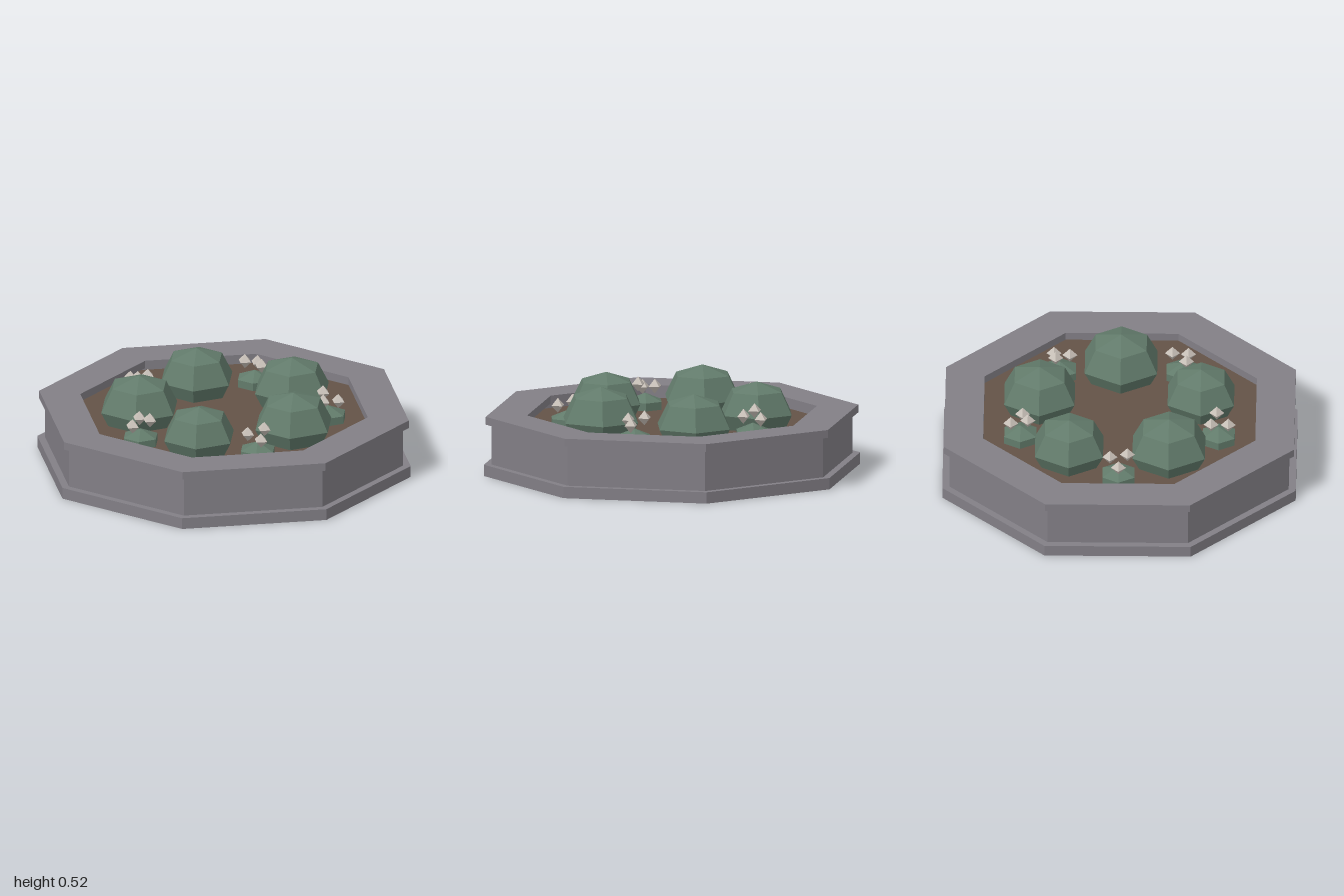
import * as THREE from 'three';

const mat = (name, color, side = THREE.FrontSide) => {
  const m = new THREE.MeshStandardMaterial({ color, flatShading: true, side });
  m.name = name;
  return m;
};

export function createModel() {
  const stone = mat('stone', 0x827f86, THREE.DoubleSide);
  const soil = mat('soil', 0x645347, THREE.DoubleSide);
  const leaf = mat('leaf', 0x627b6b);
  const petal = mat('petal', 0xc8c0b8);

  const model = new THREE.Group();
  model.name = 'octagonalPlanter';

  const add = (parent, name, geometry, material, x = 0, y = 0, z = 0) => {
    const mesh = new THREE.Mesh(geometry, material);
    mesh.name = name;
    mesh.position.set(x, y, z);
    parent.add(mesh);
    return mesh;
  };

  // Eight-sided shells; profiles are [distance to flat side, height]
  const corner = 1 / Math.cos(Math.PI / 8);
  const octagon = (profile) => new THREE.LatheGeometry(
    profile.map(([a, y]) => new THREE.Vector2(a * corner, y)), 8, Math.PI / 8);

  add(model, 'plinth', octagon([[1, 0], [1, 0.065], [0.96, 0.065]]), stone);
  add(model, 'wall', octagon([[0.96, 0.065], [0.96, 0.295]]), stone);
  add(model, 'coping', octagon(
    [[0.77, 0.295], [0.99, 0.295], [0.99, 0.34], [0.77, 0.34], [0.77, 0.295]]), stone);
  add(model, 'innerLiner', octagon([[0.86, 0.25], [0.86, 0.295]]), stone);

  // Soil bed
  const bed = new THREE.CircleGeometry(0.86 * corner, 8, Math.PI / 8);
  bed.rotateX(-Math.PI / 2);
  add(model, 'soilBed', bed, soil, 0, 0.25, 0);

  // Five large faceted bushes
  const bushGeometry = new THREE.SphereGeometry(1, 6, 4);
  [0.237, 0.217, 0.237, 0.223, 0.23].forEach((r, i) => {
    const a = (i * Math.PI * 2) / 5;
    add(model, 'bush', bushGeometry, leaf, 0.48 * Math.cos(a), 0.335, 0.48 * Math.sin(a))
      .scale.set(r, r * 0.8, r);
  });

  // Five small flowering clumps between the bushes
  const clumpGeometry = new THREE.SphereGeometry(1, 6, 3);
  const flowerGeometry = new THREE.OctahedronGeometry(0.043);
  for (let i = 0; i < 5; i++) {
    const a = ((i + 0.5) * Math.PI * 2) / 5;
    const clump = new THREE.Group();
    clump.name = 'flowerClump';
    clump.position.set(0.59 * Math.cos(a), 0, 0.59 * Math.sin(a));
    model.add(clump);
    add(clump, 'clumpLeaves', clumpGeometry, leaf, 0, 0.25, 0).scale.set(0.121, 0.09, 0.121);
    [0.365, 0.38, 0.398].forEach((y, j) => {
      const b = a + (j * Math.PI * 2) / 3;
      add(clump, 'flower', flowerGeometry, petal, 0.057 * Math.cos(b), y, 0.057 * Math.sin(b));
    });
  }
  return model;
}
